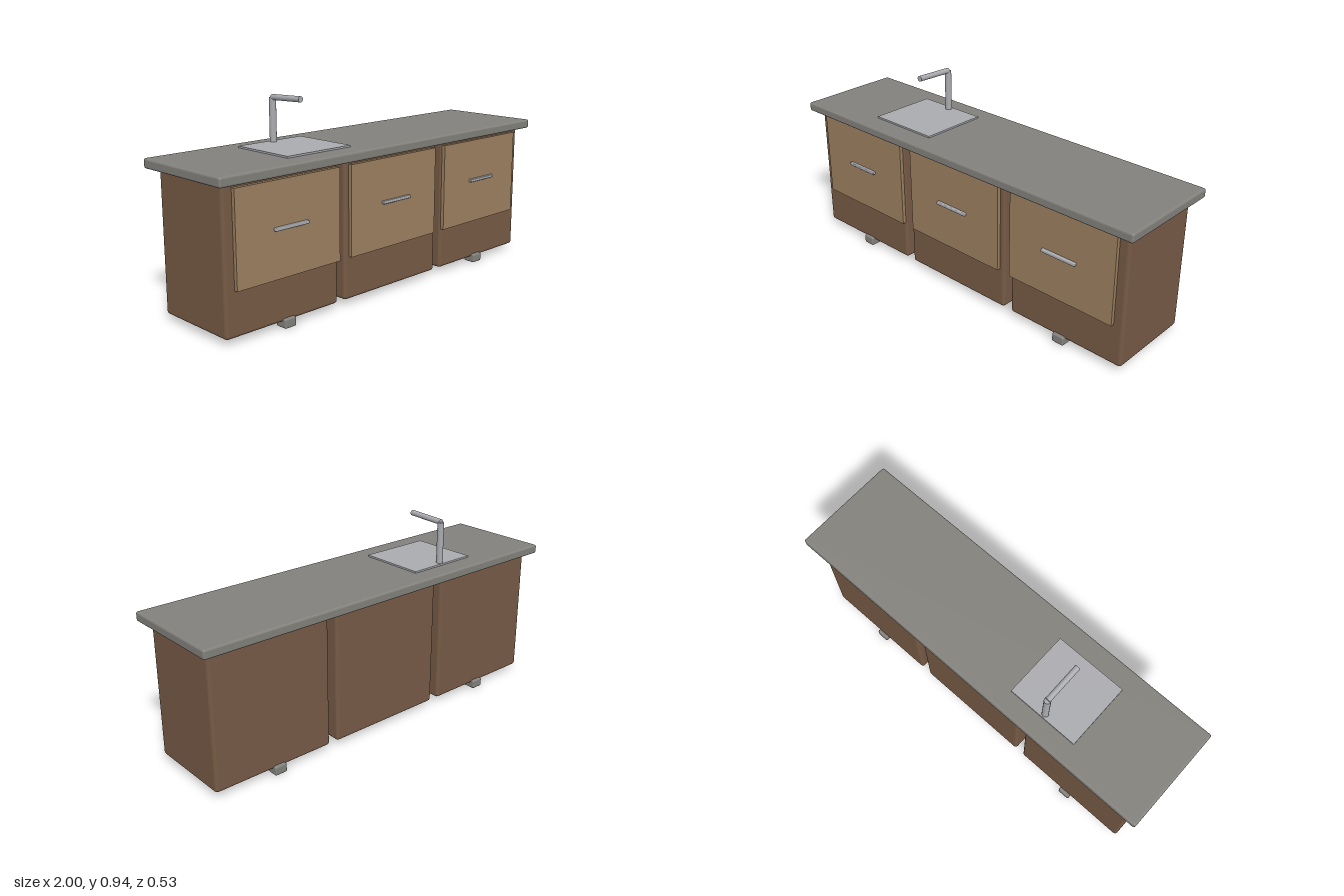
import * as THREE from 'three';
import { RoundedBoxGeometry } from 'three/addons/geometries/RoundedBoxGeometry.js';

function material(name, color) {
  const m = new THREE.MeshStandardMaterial({ color });
  m.name = name;
  return m;
}

export function createModel() {
  const wood = material('brown wood', 0x765a45);
  const panel = material('light wood', 0x9c8060);
  const stone = material('grey stone', 0x82817c);
  const metal = material('brushed metal', 0xaaabb0);
  const group = new THREE.Group();
  group.name = 'kitchenCounter';

  function add(name, geometry, mat, x, y, z) {
    const mesh = new THREE.Mesh(geometry, mat);
    mesh.name = name;
    mesh.position.set(x, y, z);
    group.add(mesh);
    return mesh;
  }
  const rounded = (w, h, d, r) => new RoundedBoxGeometry(w, h, d, 3, r);

  // Worktop slab
  add('worktop', rounded(2, 0.044, 0.53, 0.01), stone, 0, 0.689, 0);

  // Three cabinets, each with a front panel and a bar handle
  for (const side of [-1, 0, 1]) {
    add('cabinet', rounded(0.61, 0.638, 0.43, 0.015), wood, side * 0.653, 0.348, 0);
    add('drawerFront', new THREE.BoxGeometry(0.56, 0.42, 0.018), panel, side * 0.63, 0.44, 0.224);
    add('handle', rounded(0.18, 0.015, 0.017, 0.004), metal, side * 0.63, 0.448, 0.2415);
  }

  // Feet under the outer cabinets
  for (const x of [-0.635, 0.635]) {
    for (const z of [-0.2, 0.2]) {
      add('foot', rounded(0.062, 0.043, 0.062, 0.007), stone, x, 0.0225, z);
    }
  }

  // Sink plate
  add('sink', new THREE.BoxGeometry(0.362, 0.009, 0.332), metal, -0.4, 0.7145, -0.003);

  // Tap: upright post and a slightly rising spout
  add('tapPost', new THREE.CylinderGeometry(0.016, 0.016, 0.208, 20), metal, -0.4, 0.815, -0.148);
  const from = new THREE.Vector3(-0.4, 0.92, -0.148);
  const to = new THREE.Vector3(-0.4, 0.927, 0.043);
  const dir = to.clone().sub(from);
  const spout = add('tapSpout', new THREE.CylinderGeometry(0.0135, 0.0135, dir.length(), 20), metal, 0, 0, 0);
  spout.position.copy(from).add(to).multiplyScalar(0.5);
  spout.quaternion.setFromUnitVectors(new THREE.Vector3(0, 1, 0), dir.normalize());

  return group;
}
